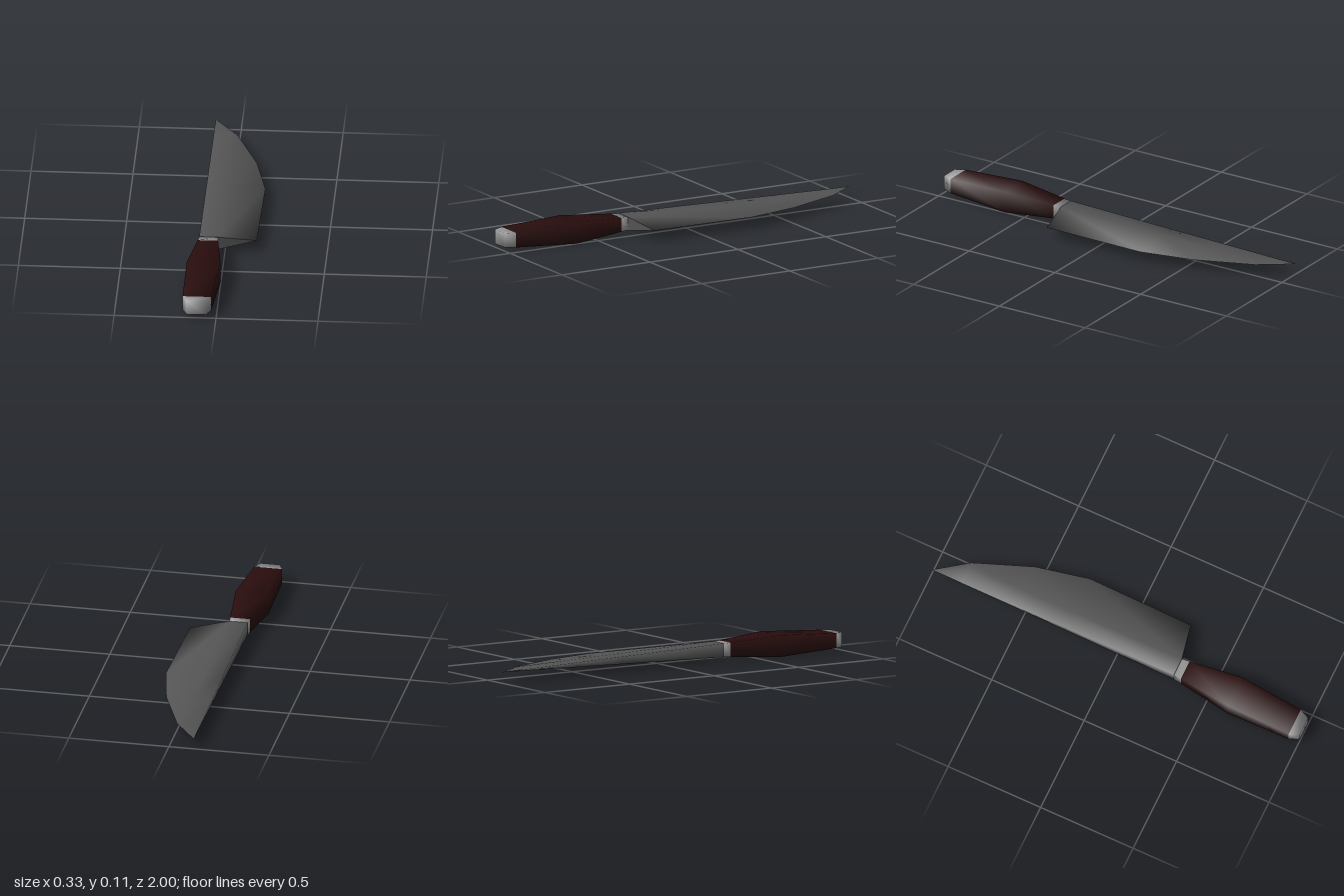
import * as THREE from 'three';

const MID = 0.056; // height of the knife's centre plane

// Lofts rings (counter-clockwise seen from +z, ordered from back to front).
// spans gives the material index of each stretch between two rings.
function loft(rings, spans, frontMat, backMat, sharpEnds) {
  const n = rings[0].length, pos = rings.flat(2), index = [];
  const geo = new THREE.BufferGeometry();
  const addGroup = (faces, mat) => {
    geo.addGroup(index.length, faces.length, mat);
    index.push(...faces);
  };
  for (let i = 0; i < rings.length - 1; i++) {
    const faces = [];
    for (let j = 0; j < n; j++) {
      const a = i * n + j, b = i * n + (j + 1) % n;
      faces.push(a, b, b + n, a, b + n, a + n);
    }
    addGroup(faces, spans[i]);
  }
  // end faces, as fans from the second corner
  const end = (ring, front) => {
    let base = ring * n;
    if (sharpEnds) {
      base = pos.length / 3;
      pos.push(...rings[ring].flat());
    }
    const faces = [];
    for (let k = 1; k < n - 1; k++) {
      const p = base + (1 + k) % n, q = base + (2 + k) % n;
      faces.push(base + 1, front ? p : q, front ? q : p);
    }
    addGroup(faces, front ? frontMat : backMat);
  };
  end(rings.length - 1, true);
  end(0, false);
  geo.setAttribute('position', new THREE.Float32BufferAttribute(pos, 3));
  geo.setIndex(index);
  geo.computeVertexNormals();
  return geo;
}

export function createModel() {
  const steel = new THREE.MeshStandardMaterial({ color: 0x545454 });
  steel.name = 'blade steel';
  const fitting = new THREE.MeshStandardMaterial({ color: 0x979797 });
  fitting.name = 'fitting metal';
  const wood = new THREE.MeshStandardMaterial({ color: 0x2a0d0d });
  wood.name = 'dark wood';

  const group = new THREE.Group();
  group.name = 'kitchenKnife';

  // Blade: thick spine, ridge, then a wedge down to the cutting edge
  // [z, ridge x, edge x, edge z, half thickness]
  const bladeRings = [
    [-1, -0.124, -0.122, -0.998, 0.0005],
    [-0.84, -0.035, -0.008, -0.84, 0.004],
    [-0.55, -0.035, 0.105, -0.55, 0.0115],
    [-0.28, -0.035, 0.163, -0.28, 0.0185],
    [0.31, -0.035, 0.155, 0.27, 0.034],
  ].map(([z, ridge, edge, edgeZ, h]) => [
    [-0.125, MID - h, z], [ridge, MID - h, z], [edge, MID, edgeZ],
    [ridge, MID + h, z], [-0.125, MID + h, z],
  ]);
  const blade = new THREE.Mesh(loft(bladeRings, [0, 0, 0, 0], 0, 0, true), [steel]);
  blade.name = 'blade';

  // Handle: bolster, swelling wooden grip and end cap
  // [z, left x, right x, half height]
  const handleRings = [
    [0.31, -0.126, -0.034, 0.033],
    [0.35, -0.13, -0.03, 0.035],
    [0.62, -0.167, -0.002, 0.054],
    [0.95, -0.167, -0.027, 0.037],
    [1, -0.145, -0.05, 0.036],
  ].map(([z, x0, x1, h]) => [
    [x0, MID - h, z], [x1, MID - h, z], [x1, MID + h, z], [x0, MID + h, z],
  ]);
  const handle = new THREE.Mesh(loft(handleRings, [0, 1, 1, 0], 0, 0, false), [fitting, wood]);
  handle.name = 'handle';

  group.add(blade, handle);
  return group;
}
